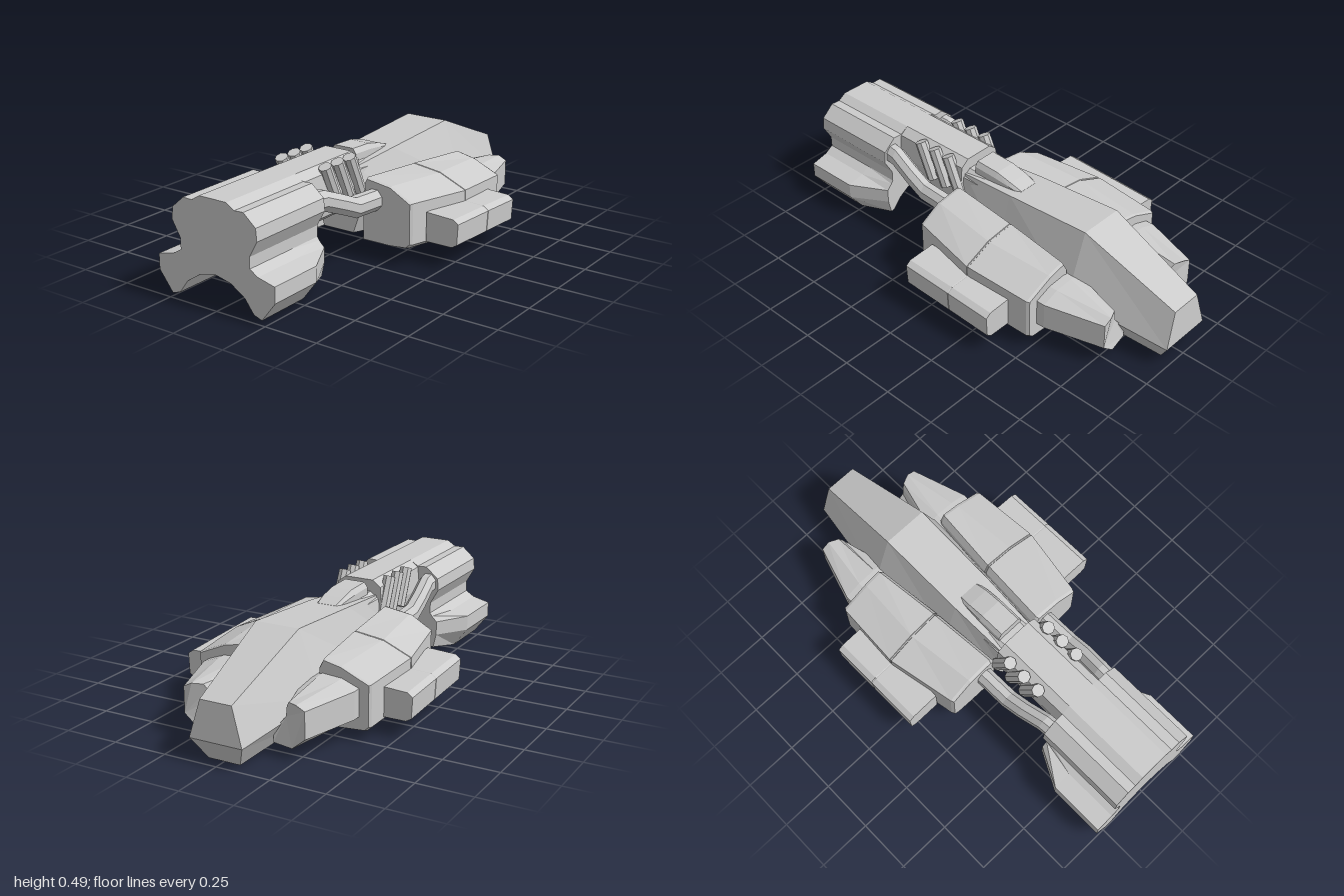
import * as THREE from 'three';

const material = new THREE.MeshStandardMaterial({ color: 0xcccccc, flatShading: true });

// Skin closed cross-sections, ordered from rear (-x) to nose (+x).
// Each section is [x, [[z, y, dx?], ...]].
function loft(sections) {
  const flat = sections[0][1].map(([z, y]) => new THREE.Vector2(z, y));
  const flip = THREE.ShapeUtils.isClockWise(flat);
  const rings = sections.map(([x, pts]) => {
    const ring = pts.map(([z, y, dx = 0]) => [x + dx, y, z]);
    return flip ? ring.reverse() : ring;
  });
  const pos = [];
  const tri = (a, b, c) => pos.push(...a, ...b, ...c);
  const n = rings[0].length;
  for (let i = 0; i + 1 < rings.length; i++) {
    for (let j = 0; j < n; j++) {
      const k = (j + 1) % n;
      const a = rings[i][j], b = rings[i][k], c = rings[i + 1][k], d = rings[i + 1][j];
      tri(a, d, b);
      tri(d, c, b);
    }
  }
  const cap = (ring, front) => {
    const outline = ring.map(([, y, z]) => new THREE.Vector2(z, y));
    for (const [a, b, c] of THREE.ShapeUtils.triangulateShape(outline, [])) {
      if (front) tri(ring[a], ring[c], ring[b]);
      else tri(ring[a], ring[b], ring[c]);
    }
  };
  cap(rings[0], false);
  cap(rings[rings.length - 1], true);
  const geometry = new THREE.BufferGeometry();
  geometry.setAttribute('position', new THREE.Float32BufferAttribute(pos, 3));
  geometry.computeVertexNormals();
  return geometry;
}

// Complete a half outline (z > 0, top to bottom) across the centre plane.
const whole = (half) => [
  ...half,
  ...half.filter(([z]) => z > 0).reverse().map(([z, y, dx = 0]) => [-z, y, dx]),
];

// Put a side outline on one flank, raised by dy and scaled about (cz, cy).
const place = (pts, side, dy = 0, s = 1, cz = 0.3, cy = 0.18) =>
  pts.map(([z, y, dx = 0]) => [side * (cz + (z - cz) * s), cy + (y - cy) * s + dy, dx]);

// Side pod outline from its inner corner, ridge and outer edge.
const pod = (inner, ridge, edge) => [
  [inner - 0.02, 0.31], [inner, 0.348], [ridge, 0.33], [edge, 0.272],
  [edge, 0.085], [edge - 0.02, 0.066], [ridge, 0.058], [inner - 0.02, 0.058],
];

export function createModel() {
  const model = new THREE.Group();
  const add = (name, geometry) => {
    const mesh = new THREE.Mesh(geometry, material);
    mesh.name = name;
    model.add(mesh);
    return mesh;
  };

  // Faceted main hull with a drooping nose, undercut below its front face
  add('hull', loft([
    [-0.18, whole([[0.09, 0.405], [0.13, 0.24], [0.08, 0.1]])],
    [0.1, whole([[0.1, 0.428], [0.17, 0.2], [0.115, 0.065]])],
    [0.53, whole([[0.105, 0.455], [0.207, 0.17], [0.13, 0.045]])],
    [0.99, whole([[0.075, 0.27], [0.125, 0.1, 0.01], [0.075, 0, -0.05]])],
    [0.99, whole([[0.075, 0.27], [0.125, 0.1, 0.01], [0.125, 0.1, 0.01]])],
  ]));

  // Raised fairing on the back of the hull
  add('dorsalFairing', loft([
    [-0.14, whole([[0.05, 0.473], [0.065, 0.45], [0.065, 0.36]])],
    [-0.02, whole([[0.05, 0.468], [0.065, 0.445], [0.065, 0.36]])],
    [0.06, whole([[0.05, 0.45], [0.062, 0.435], [0.062, 0.36]])],
    [0.12, whole([[0.045, 0.43], [0.055, 0.42], [0.055, 0.36]])],
  ]));

  // Long spine joining hull and tail
  const spine = whole([[0.07, 0.475], [0.11, 0.445], [0.12, 0.34], [0.105, 0.25], [0.06, 0.215]]);
  add('spine', loft([[-0.99, spine], [-0.18, spine]]));
  const neck = whole([[0.06, 0.42], [0.1, 0.39], [0.11, 0.33], [0.09, 0.25], [0.05, 0.22]]);
  add('neck', loft([[-0.19, neck], [-0.08, neck]]));

  // Tail block with upper shoulders, waisted sides and splayed lower lobes
  const upper = [[0, 0.475], [0.07, 0.475], [0.11, 0.45], [0.155, 0.452],
    [0.215, 0.4], [0.22, 0.345], [0.18, 0.275], [0.18, 0.225]];
  const tail = whole([...upper, [0.22, 0.2], [0.303, 0.18], [0.303, 0.11],
    [0.235, 0.022], [0.195, 0.035], [0.15, 0.095], [0.08, 0.14], [0, 0.158]]);
  const tailFront = whole([...upper, [0.19, 0.21], [0.215, 0.185], [0.215, 0.12],
    [0.2, 0.055], [0.18, 0.058], [0.14, 0.105], [0.08, 0.142], [0, 0.158]]);
  add('tailBlock', loft([[-1, tail], [-0.74, tail], [-0.57, tailFront]]));

  const midPod = pod(0.168, 0.305, 0.44);
  const outer = [[0.4, 0.225], [0.535, 0.218], [0.56, 0.2], [0.555, 0.105], [0.53, 0.09], [0.4, 0.09]];
  const front = [[0.13, 0.17], [0.14, 0.25], [0.2, 0.268], [0.29, 0.262], [0.37, 0.232],
    [0.37, 0.108], [0.28, 0.055], [0.13, 0.055], [0.13, 0.1]];
  const frontTip = [[0.185, 0.17, -0.03], [0.19, 0.215, -0.03], [0.205, 0.238, -0.02],
    [0.25, 0.24], [0.29, 0.22], [0.29, 0.1], [0.23, 0.05], [0.13, 0.05, -0.02], [0.13, 0.1, -0.02]];

  for (const side of [1, -1]) {
    const label = side > 0 ? 'Front' : 'Back';

    // Armoured side pod in two panels split by a groove
    add('sidePod' + label, loft([
      [-0.175, place(pod(0.145, 0.27, 0.375), side, 0.018, 0.97)],
      [-0.16, place(pod(0.145, 0.27, 0.38), side, 0.018)],
      [0.162, place(midPod, side)],
      [0.164, place(midPod, side, 0, 0.985)],
      [0.17, place(midPod, side, 0, 0.985)],
      [0.172, place(midPod, side)],
      [0.487, place(pod(0.2, 0.285, 0.422), side, -0.018)],
      [0.5, place(pod(0.2, 0.285, 0.418), side, -0.018, 0.97)],
    ]));

    // Outrigger block on the pod's flank
    add('outrigger' + label, loft([
      [-0.085, place(outer, side, 0.01)],
      [0.163, place(outer, side)],
      [0.165, place(outer, side, 0, 0.985, 0.47, 0.16)],
      [0.168, place(outer, side, 0, 0.985, 0.47, 0.16)],
      [0.17, place(outer, side)],
      [0.39, place(outer, side, -0.01)],
    ]));

    // Tapered block ahead of the pod
    add('forwardPod' + label, loft([
      [0.42, place(front, side)],
      [0.54, place(front, side)],
      [0.8, place(frontTip, side)],
    ]));

    // Bent pipe from tail to pod
    const ring = (x, y, z) => [x, Array.from({ length: 8 }, (_, i) => {
      const a = (i + 0.5) * Math.PI / 4;
      return [side * (z + 0.042 * Math.cos(a)), y + 0.05 * Math.sin(a)];
    })];
    add('pipe' + label, loft([
      ring(-0.6, 0.375, 0.165), ring(-0.53, 0.37, 0.17), ring(-0.42, 0.325, 0.185),
      ring(-0.33, 0.285, 0.19), ring(-0.1, 0.27, 0.19),
    ]));

    // Row of slanted exhaust rods along the spine
    for (let i = 0; i < 3; i++) {
      const x = -0.43 + i * 0.085;
      const a = new THREE.Vector3(x, 0.478, side * 0.116);
      const b = new THREE.Vector3(x + 0.075, 0.31, side * 0.118);
      const rod = add('exhaustRod' + label + (i + 1),
        new THREE.CylinderGeometry(0.029, 0.029, a.distanceTo(b), 8));
      rod.position.copy(a).lerp(b, 0.5);
      rod.quaternion.setFromUnitVectors(new THREE.Vector3(0, 1, 0), a.clone().sub(b).normalize());
    }
  }
  return model;
}
